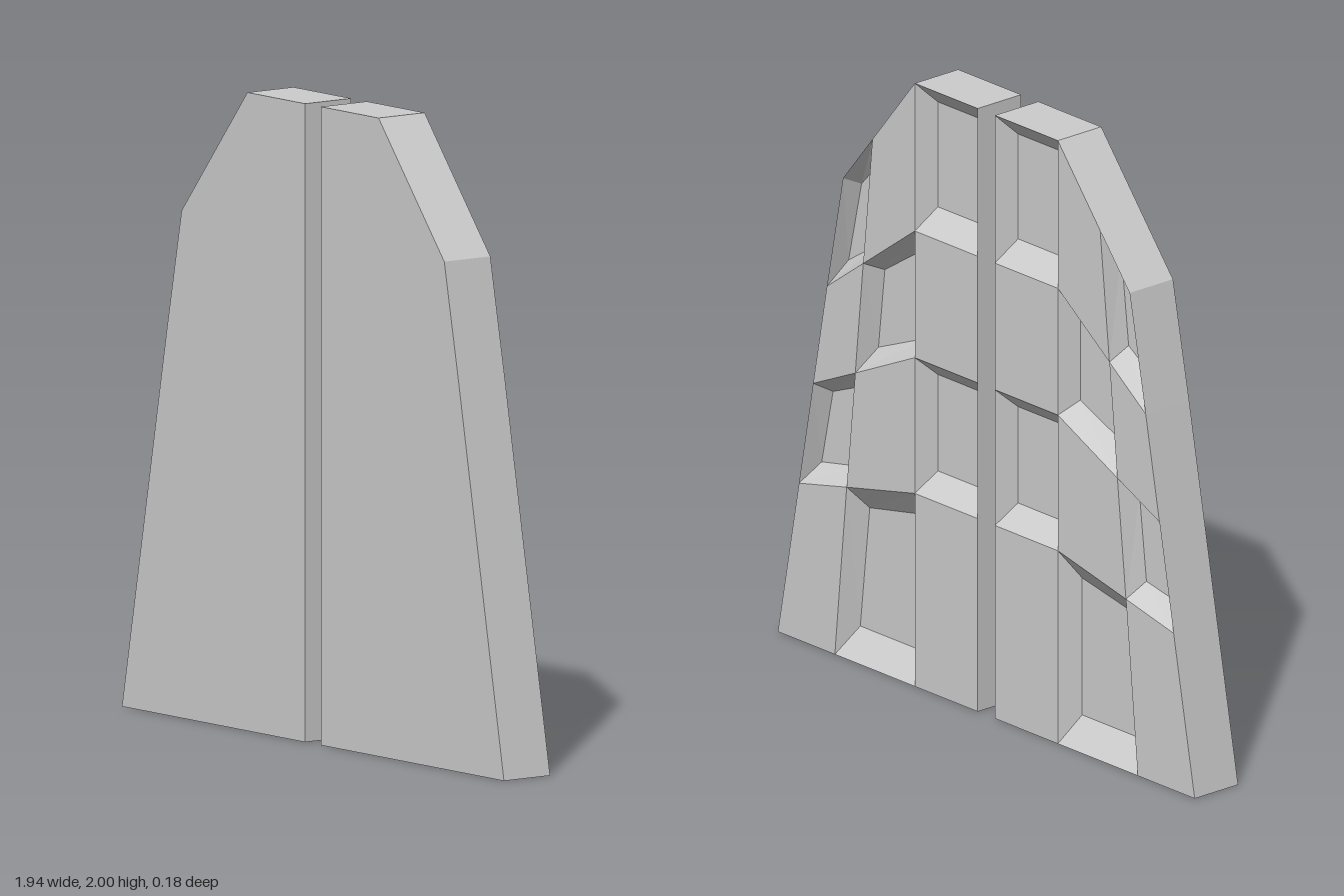
import * as THREE from 'three';

const HALF_DEPTH = 0.09;
const RECESS_DEPTH = 0.07;

// Grid corners of one half, rows from top to bottom, inner edge to outer edge
const GRID = [
  [[0.04, 2], [0.333, 2], [0.53, 1.758], [0.667, 1.59]],
  [[0.04, 1.51], [0.333, 1.51], [0.573, 1.334], [0.742, 1.21]],
  [[0.04, 1.09], [0.333, 1.09], [0.61, 0.96], [0.806, 0.87]],
  [[0.04, 0.64], [0.333, 0.64], [0.65, 0.57], [0.872, 0.52]],
  [[0.04, 0], [0.333, 0], [0.705, 0], [0.97, 0]],
];

// Collects flat quads; side = -1 mirrors them and turns the winding round
function quadBuilder(side) {
  const positions = [];
  return {
    quad(a, b, c, d) {
      const order = side > 0 ? [a, b, c, a, c, d] : [c, b, a, d, c, a];
      for (const p of order) positions.push(p[0] * side, p[1], p[2]);
    },
    geometry() {
      const g = new THREE.BufferGeometry();
      g.setAttribute('position', new THREE.Float32BufferAttribute(positions, 3));
      g.computeVertexNormals();
      return g;
    },
  };
}

const at = (p, z) => [p[0], p[1], z];

// Shrinks a cell about its centre for the floor of a recess
function shrink(cell) {
  const cx = cell.reduce((s, p) => s + p[0], 0) / 4;
  const cy = cell.reduce((s, p) => s + p[1], 0) / 4;
  return cell.map(([x, y]) => [cx + (x - cx) * 0.8, cy + (y - cy) * 0.71]);
}

function halfPanel(side) {
  const { quad, geometry } = quadBuilder(side);

  for (let r = 0; r < 4; r++) {
    for (let c = 0; c < 3; c++) {
      const cell = [GRID[r][c], GRID[r][c + 1], GRID[r + 1][c + 1], GRID[r + 1][c]];
      // Flat front
      quad(...cell.map((p) => at(p, HALF_DEPTH)).reverse());
      const rim = cell.map((p) => at(p, -HALF_DEPTH));
      if ((r + c) % 2) {
        // Raised back cell
        quad(...rim);
      } else {
        // Recessed back cell with sloping walls
        const floor = shrink(cell).map((p) => at(p, -HALF_DEPTH + RECESS_DEPTH));
        quad(...floor);
        for (let k = 0; k < 4; k++) {
          const n = (k + 1) % 4;
          quad(rim[k], rim[n], floor[n], floor[k]);
        }
      }
    }
  }

  // Edge band around the outline
  const outline = [
    ...GRID[0],
    ...GRID.slice(1, 4).map((row) => row[3]),
    ...[...GRID[4]].reverse(),
    ...GRID.slice(1, 4).map((row) => row[0]).reverse(),
  ];
  outline.forEach((p, k) => {
    const q = outline[(k + 1) % outline.length];
    quad(at(p, -HALF_DEPTH), at(p, HALF_DEPTH), at(q, HALF_DEPTH), at(q, -HALF_DEPTH));
  });
  return geometry();
}

export function createModel() {
  const group = new THREE.Group();
  group.name = 'splitPanel';
  const material = new THREE.MeshStandardMaterial({ color: 0xcccccc, flatShading: true });
  for (const [name, side] of [['leftPanel', 1], ['rightPanel', -1]]) {
    const mesh = new THREE.Mesh(halfPanel(side), material);
    mesh.name = name;
    group.add(mesh);
  }
  return group;
}
